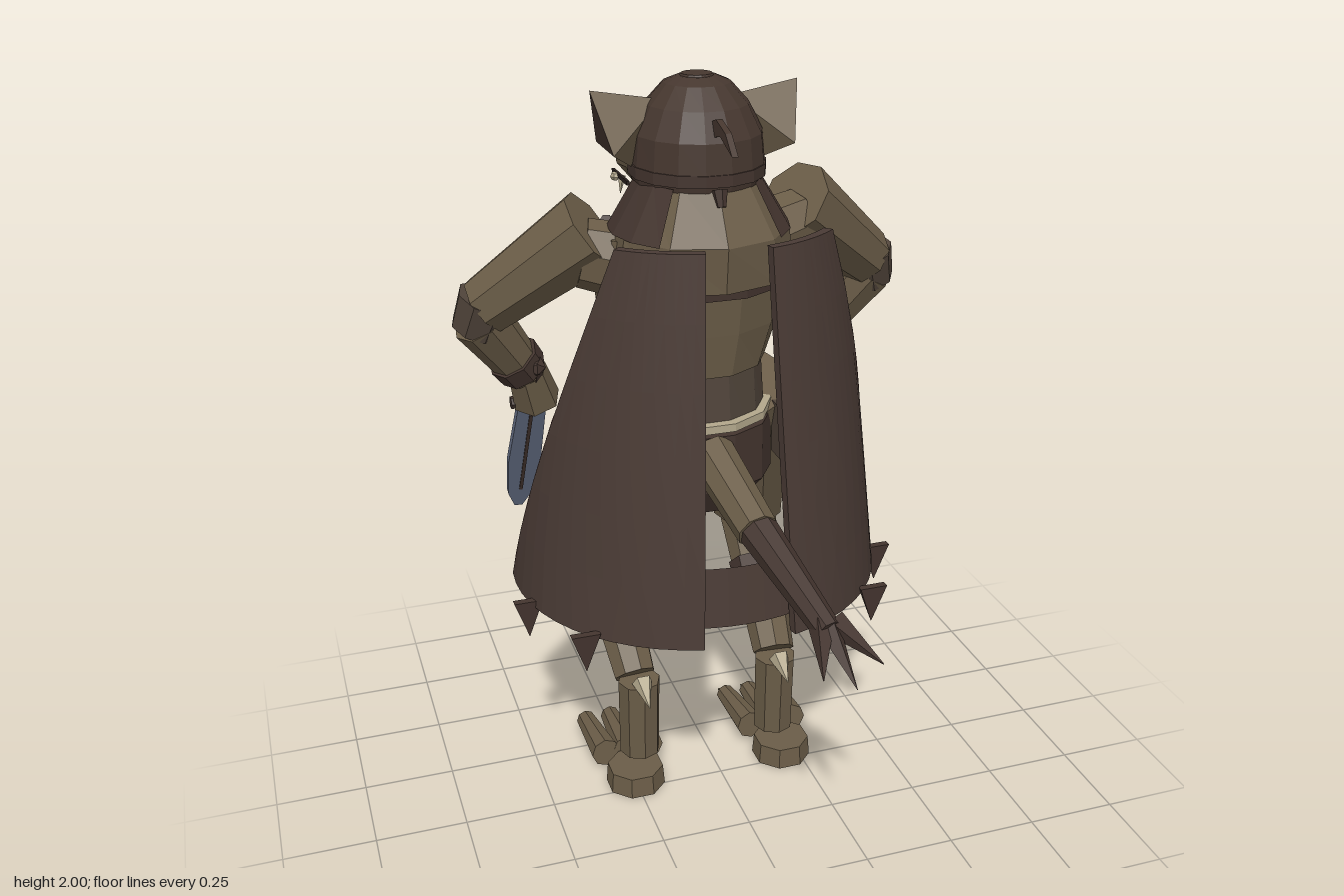
import * as THREE from 'three';

const mat = (name, color) => Object.assign(
  new THREE.MeshStandardMaterial({ color, flatShading: true, side: THREE.DoubleSide }), { name });
const M = {
  fur: mat('tan fur', 0x6b5d48), dark: mat('dark leather', 0x44352f), cape: mat('cape brown', 0x4a3b35),
  helm: mat('helmet brown', 0x46372f), vest: mat('vest brown', 0x50443a), red: mat('red lining', 0x7c3a33),
  steel: mat('blue steel', 0x69738a), bone: mat('bone', 0xb3a88c), groove: mat('black brown', 0x2a211d),
};
const V = (x, y, z) => new THREE.Vector3(x, y, z);
const UP = V(0, 1, 0);
const lerp = THREE.MathUtils.lerp, rad = THREE.MathUtils.degToRad;
const outline = pts => new THREE.Shape(pts.map(p => new THREE.Vector2(...p)));
const slab = (pts, depth) => new THREE.ExtrudeGeometry(outline(pts), { depth, bevelEnabled: false });

function add(parent, name, geo, material, pos) {
  const m = new THREE.Mesh(geo, material);
  m.name = name;
  if (pos) m.position.set(...pos);
  parent.add(m);
  return m;
}

// Tapered prism between two points
function limb(parent, name, a, b, ra, rb, material, sides = 8) {
  const p = V(...a), q = V(...b), d = q.clone().sub(p);
  const m = add(parent, name, new THREE.CylinderGeometry(rb, ra, d.length(), sides), material);
  m.position.copy(p).add(q).multiplyScalar(0.5);
  m.quaternion.setFromUnitVectors(UP, d.normalize());
  return m;
}

// Closed loft along y; rings are [y, zCentre, rx, rz]
function loft(rings, n = 12) {
  const pos = [], idx = [];
  for (const [y, zc, rx, rz] of rings)
    for (let j = 0; j < n; j++) {
      const a = ((j + 0.5) / n) * Math.PI * 2;
      pos.push(rx * Math.cos(a), y, zc + rz * Math.sin(a));
    }
  const last = rings.length - 1;
  for (let j = 0; j < n; j++) {
    const k = (j + 1) % n;
    for (let i = 0; i < last; i++) {
      const a = i * n + j, b = a + n, c = (i + 1) * n + k, d = i * n + k;
      idx.push(a, b, c, a, c, d);
    }
    if (j > 0 && j < n - 1) idx.push(0, j, j + 1, last * n, last * n + j + 1, last * n + j);
  }
  const g = new THREE.BufferGeometry();
  g.setAttribute('position', new THREE.Float32BufferAttribute(pos, 3));
  g.setIndex(idx);
  g.computeVertexNormals();
  return g;
}

// Curved sheet: f(u, v) gives a point
function sheet(f, nu, nv) {
  const g = new THREE.PlaneGeometry(1, 1, nu, nv), p = g.attributes.position, uv = g.attributes.uv;
  for (let i = 0; i < p.count; i++) p.setXYZ(i, ...f(uv.getX(i), 1 - uv.getY(i)));
  g.computeVertexNormals();
  return g;
}
// Cape cone: t runs 0 at the collar to 1 at the hem, angle in degrees from the back
function capePoint(side, t, deg, inset = 0) {
  const r = lerp(0.405, 0.515, t) - inset, a = rad(deg);
  return [side * r * Math.sin(a), lerp(1.64, 0.62, t), -0.2 + r * Math.cos(a)];
}

// Mirrored triangles through listed corners
function facets(s, corners) {
  const g = new THREE.BufferGeometry().setFromPoints(corners.map(([x, y, z]) => V(s * x, y, z)));
  g.computeVertexNormals();
  return g;
}

function buildHead(g) {
  const along = (rings, n) => loft(rings, n).rotateX(-Math.PI / 2);
  add(g, 'snout', along([[0.1, 1.77, 0.14, 0.13], [0.28, 1.765, 0.145, 0.135], [0.45, 1.745, 0.11, 0.115],
    [0.65, 1.7, 0.08, 0.095], [0.69, 1.695, 0.072, 0.085]], 8), M.fur);
  add(g, 'jaw', along([[0.3, 1.63, 0.09, 0.05], [0.5, 1.605, 0.07, 0.03], [0.63, 1.6, 0.05, 0.025]], 8), M.fur);
  // Nose guard, wider towards the brow
  const guard = add(g, 'nosePlate', slab([[-0.08, -0.135], [-0.065, 0.135], [0.065, 0.135], [0.08, -0.135]], 0.02),
    M.helm, [0, 1.803, -0.55]);
  guard.rotation.x = -Math.PI / 2 - 0.29;
  // Domed helmet with rim, knob and rear fin
  add(g, 'helmet', loft([[1.74, -0.135, 0.165, 0.175], [1.78, -0.135, 0.172, 0.182], [1.86, -0.135, 0.165, 0.175],
    [1.93, -0.135, 0.13, 0.14], [1.98, -0.135, 0.085, 0.09], [1.995, -0.135, 0.05, 0.05]], 16), M.helm);
  add(g, 'helmetBand', loft([[1.755, -0.135, 0.175, 0.185], [1.785, -0.135, 0.175, 0.185]], 16), M.dark);
  add(g, 'helmetKnob', new THREE.CylinderGeometry(0.04, 0.05, 0.02, 16), M.helm, [0, 1.99, -0.135]);
  add(g, 'helmetFin', slab([[0.01, 1.87], [0.07, 1.885], [0.16, 1.855], [0.11, 1.9], [0.04, 1.92], [-0.02, 1.9]], 0.016)
    .rotateY(-Math.PI / 2), M.helm, [0.008, 0, 0]);
  limb(g, 'collarStud', [0, 1.75, 0.045], [0, 1.71, 0.06], 0.02, 0.012, M.dark, 6);
  for (const s of [-1, 1]) {
    // Broad pointed ears, with a darker hollow on the outer face
    const tip = [0.27, 1.97, -0.145], top = [0.09, 1.94, -0.14], back = [0.235, 1.825, -0.06],
      low = [0.16, 1.77, -0.15], front = [0.235, 1.825, -0.235];
    add(g, 'ear', facets(s, [tip, top, back, tip, front, top, top, low, back, top, front, low]), M.fur);
    add(g, 'earHollow', facets(s, [tip, back, front, back, low, front]), M.dark);
    add(g, 'nostril', new THREE.BoxGeometry(0.02, 0.03, 0.07), M.groove, [s * 0.073, 1.74, -0.64]);
    add(g, 'mouthLine', new THREE.BoxGeometry(0.008, 0.012, 0.16), M.groove, [s * 0.086, 1.645, -0.57]);
    add(g, 'tusk', new THREE.SphereGeometry(0.013, 6, 4).scale(1, 1, 1.5), M.bone, [s * 0.095, 1.64, -0.6]);
    limb(g, 'tooth', [s * 0.075, 1.64, -0.6], [s * 0.08, 1.59, -0.6], 0.012, 0.001, M.bone, 5);
  }
}

function buildTorso(g) {
  add(g, 'mantle', loft([[1.5, -0.13, 0.25, 0.23], [1.62, -0.12, 0.23, 0.235], [1.75, -0.13, 0.15, 0.17]], 10), M.fur);
  add(g, 'chest', loft([[1.24, -0.2, 0.2, 0.2], [1.36, -0.21, 0.245, 0.23], [1.48, -0.21, 0.26, 0.245],
    [1.6, -0.17, 0.24, 0.21]], 12), M.fur);
  add(g, 'waist', loft([[1.0, -0.18, 0.2, 0.18], [1.25, -0.2, 0.19, 0.18]], 12), M.vest);
  add(g, 'hips', loft([[0.84, -0.16, 0.13, 0.13], [0.92, -0.16, 0.21, 0.18], [1.08, -0.17, 0.21, 0.19]], 12), M.dark);
  for (let i = 0; i < 3; i++) {
    const y = 1.15 + i * 0.055;
    add(g, 'bellyRidge', loft([[y, -0.24, 0.17, 0.175], [y + 0.04, -0.24, 0.175, 0.18]], 12), M.fur);
  }
  add(g, 'belt', loft([[1.09, -0.195, 0.218, 0.215], [1.112, -0.195, 0.218, 0.215]], 12), M.bone);
  limb(g, 'buckle', [0, 1.1, -0.395], [0, 1.1, -0.42], 0.03, 0.02, M.bone, 6);
  add(g, 'backStrap', loft([[1.47, -0.19, 0.268, 0.255], [1.54, -0.175, 0.262, 0.245]], 12), M.dark);
  // Rounded loincloth
  const apron = add(g, 'loincloth', slab([[-0.11, 0], [-0.14, -0.14], [-0.1, -0.25], [0, -0.31], [0.1, -0.25],
    [0.14, -0.14], [0.11, 0]], 0.03), M.dark, [0, 1.085, -0.4]);
  apron.rotation.x = -0.1;
  // Chest strap carrying hanging vials
  limb(g, 'chestStrap', [-0.2, 1.6, -0.3], [-0.11, 1.49, -0.465], 0.018, 0.018, M.dark, 6);
  limb(g, 'chestStrap', [-0.12, 1.5, -0.46], [0.2, 1.29, -0.38], 0.018, 0.018, M.dark, 6);
  for (let i = 0; i < 3; i++) {
    const x = -0.08 + i * 0.08, y = 1.53 - i * 0.06;
    limb(g, 'vial', [x - 0.02, y, -0.45], [x + 0.02, y - 0.15, -0.46], 0.022, 0.022, M.dark, 6);
    limb(g, 'vialTip', [x + 0.02, y - 0.15, -0.46], [x + 0.025, y - 0.18, -0.46], 0.014, 0.004, M.bone, 6);
  }
  for (const s of [-1, 1]) {
    // Leather collar lying on each side of the mantle
    add(g, 'collarPanel', sheet((u, v) => {
      const a = rad(lerp(42, 105, u));
      return [s * lerp(0.158, 0.236, v) * Math.sin(a), lerp(1.75, 1.62, v), -0.125 + lerp(0.178, 0.243, v) * Math.cos(a)];
    }, 3, 1), M.dark);
    add(g, 'hipPouch', new THREE.BoxGeometry(0.08, 0.15, 0.14), M.vest, [s * 0.25, 1.03, -0.06]);
  }
  // Tail with a forked tip
  limb(g, 'tailBase', [-0.01, 1.03, 0.0], [0.03, 0.92, 0.26], 0.065, 0.055, M.fur);
  limb(g, 'tailEnd', [0.03, 0.925, 0.24], [0.11, 0.775, 0.55], 0.053, 0.035, M.dark);
  for (const [x, y, z] of [[0.055, 0.71, 0.66], [0.13, 0.69, 0.69], [0.215, 0.72, 0.65]])
    limb(g, 'tailSpike', [lerp(0.11, x, 0.2), 0.785, 0.53], [x, y, z], 0.034, 0.001, M.dark, 4);
}

function buildCape(g) {
  for (const s of [-1, 1]) {
    const front = t => lerp(44, 97, t), back = t => lerp(12, 14, t);
    add(g, 'capeOuter', sheet((u, t) => capePoint(s, t, lerp(back(t), front(t), u)), 12, 6), M.cape);
    add(g, 'capeInner', sheet((u, t) => capePoint(s, t, lerp(back(t), front(t), u), 0.025), 12, 6), M.cape);
    for (const t of [0, 1])
      add(g, 'capeHem', sheet((u, v) => capePoint(s, t, lerp(back(t), front(t), u), v * 0.025), 12, 1), M.cape);
    add(g, 'capeBackEdge', sheet((u, t) => capePoint(s, t, back(t), u * 0.025), 1, 6), M.cape);
    // Red trim widening past the front edge
    add(g, 'capeLining', sheet((u, v) => {
      const t = lerp(0.3, 1, v);
      return capePoint(s, t, front(t) + u * 5 * Math.min(1, v * 4, 0.6 + (1 - v)), u * 0.03);
    }, 2, 8), M.red);
    add(g, 'capeFrontEdge', sheet((u, v) => capePoint(s, v * 0.3, front(v * 0.3), u * 0.025), 1, 2), M.cape);
    // Ragged points below the hem
    for (const [x, z] of [[0.51, -0.06], [0.405, 0.16]])
      add(g, 'capePoint', new THREE.CylinderGeometry(0.055, 0.001, 0.11, 4).rotateY(Math.PI / 4).scale(1, 1, 0.28),
        M.dark, [s * x, 0.585, z]);
  }
  add(g, 'capeBackPanel', sheet((u, v) => capePoint(1, lerp(0.8, 0.96, v), lerp(-18, 18, u), 0.035), 6, 1), M.cape);
}

function buildArm(g, s) {
  const P = (x, y, z) => [s * x, y + (s > 0 ? 0.02 : -0.01), z];
  limb(g, 'shoulder', P(0.17, 1.53, -0.17), P(0.3, 1.56, -0.2), 0.1, 0.09, M.fur);
  limb(g, 'upperArm', P(0.275, 1.625, -0.19), P(0.54, 1.41, -0.31), 0.11, 0.082, M.fur);
  limb(g, 'elbow', P(0.535, 1.43, -0.305), P(0.565, 1.34, -0.33), 0.08, 0.07, M.vest);
  limb(g, 'forearm', P(0.555, 1.37, -0.325), P(0.43, 1.18, -0.39), 0.08, 0.06, M.fur);
  limb(g, 'bracer', P(0.465, 1.235, -0.37), P(0.435, 1.19, -0.385), 0.074, 0.07, M.dark);
  limb(g, 'palm', P(0.425, 1.185, -0.385), P(0.395, 1.08, -0.42), 0.055, 0.068, M.fur, 6);
  for (let i = 0; i < 4; i++)
    limb(g, 'finger', P(0.44, 1.145 - i * 0.028, -0.42 - i * 0.01), P(0.36, 1.135 - i * 0.028, -0.485 - i * 0.006), 0.02, 0.016, M.fur, 6);
  // Dagger held point down
  const x = s * 0.4 - 0.01;
  limb(g, 'daggerGrip', [x, 1.2, -0.34], [x, 1.06, -0.42], 0.022, 0.022, M.dark, 6);
  add(g, 'pommel', new THREE.IcosahedronGeometry(0.03, 0), M.dark, [x, 1.2, -0.34]);
  limb(g, 'daggerGuard', [x - 0.06, 1.07, -0.42], [x + 0.06, 1.07, -0.42], 0.018, 0.018, M.dark, 6);
  const dagger = new THREE.Group();
  dagger.name = 'dagger';
  dagger.position.set(x, 1.06, -0.425);
  dagger.rotation.set(Math.atan2(-0.22, -0.42), 0, s * -0.04);
  add(dagger, 'blade', slab([[-0.04, 0], [-0.048, 0.25], [-0.036, 0.4], [-0.012, 0.46], [0.012, 0.46],
    [0.036, 0.4], [0.048, 0.25], [0.04, 0]], 0.022).translate(0, 0, -0.011), M.steel);
  add(dagger, 'bladeGroove', new THREE.BoxGeometry(0.01, 0.34, 0.028), M.dark, [0, 0.21, 0]);
  g.add(dagger);
}

function buildLeg(g, s) {
  const P = (x, y, z) => [s * x, y, z];
  limb(g, 'thigh', P(0.175, 1.13, -0.22), P(0.235, 0.67, -0.38), 0.135, 0.107, M.fur);
  limb(g, 'shin', P(0.235, 0.67, -0.395), P(0.21, 0.34, -0.07), 0.086, 0.06, M.fur);
  // One shin is bound, the other only patched
  if (s > 0) limb(g, 'shinWrap', P(0.224, 0.54, -0.265), P(0.219, 0.48, -0.205), 0.082, 0.077, M.dark);
  else add(g, 'shinPatch', new THREE.BoxGeometry(0.04, 0.03, 0.02), M.dark, P(0.222, 0.545, -0.2)).rotation.x = -0.78;
  limb(g, 'ankle', P(0.205, 0.34, -0.045), P(0.205, 0.1, -0.055), 0.06, 0.058, M.fur);
  limb(g, 'heelSpur', P(0.205, 0.355, -0.01), P(0.205, 0.31, 0.065), 0.03, 0.001, M.bone, 5);
  add(g, 'heel', new THREE.CylinderGeometry(0.08, 0.085, 0.06, 8).rotateY(Math.PI / 8), M.fur, P(0.225, 0.03, -0.035));
  // Three clawed toes
  for (let i = -1; i <= 1; i++) {
    const x = 0.225 + i * 0.065, end = 0.225 + i * 0.075;
    limb(g, 'toe', P(x, 0.055, -0.12), P(end, 0.04, -0.33), 0.042, 0.028, M.fur);
    limb(g, 'claw', P(end, 0.04, -0.325), P(end, 0.012, -0.4), 0.022, 0.001, M.bone, 6);
  }
}

export function createModel() {
  const root = new THREE.Group();
  root.name = 'ratWarrior';
  const part = (name, x, build) => {
    const g = new THREE.Group();
    g.name = name;
    g.position.x = x;
    build(g);
    root.add(g);
  };
  part('head', -0.02, buildHead);
  part('torso', -0.02, buildTorso);
  part('cape', -0.02, buildCape);
  part('arms', -0.01, g => [-1, 1].forEach(s => buildArm(g, s)));
  part('legs', -0.025, g => [-1, 1].forEach(s => buildLeg(g, s)));
  return root;
}
